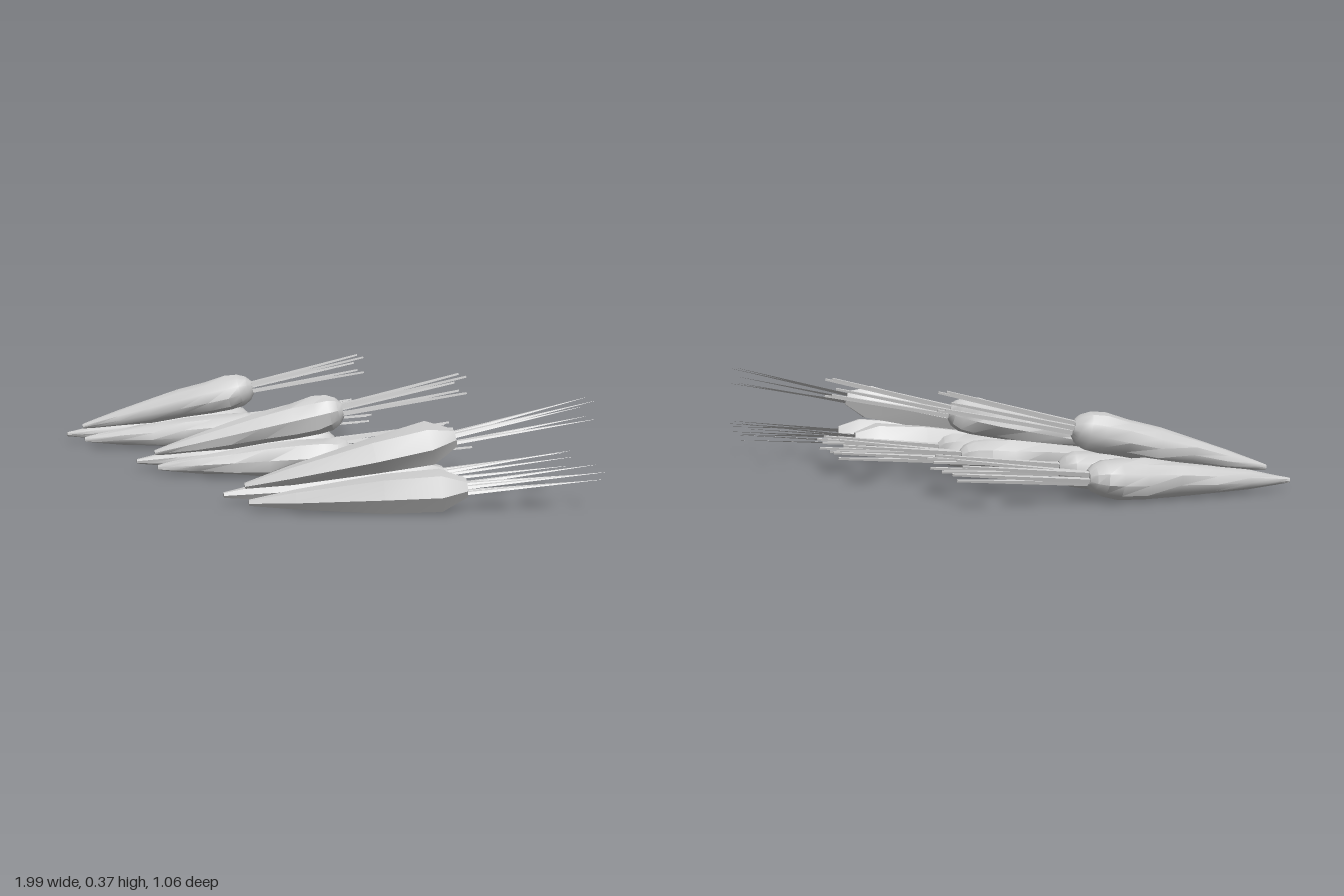
import * as THREE from 'three';
import { toCreasedNormals } from 'three/addons/utils/BufferGeometryUtils.js';

const UP = new THREE.Vector3(0, 1, 0);
const material = new THREE.MeshStandardMaterial({ color: 0xcccccc, side: THREE.DoubleSide });

// Root outline: [fraction of length from the tip, radius]
const fineProfile = [[0, 0], [0.004, 0.009], [0.07, 0.017], [0.22, 0.033], [0.4, 0.047], [0.58, 0.059],
  [0.74, 0.067], [0.86, 0.069], [0.93, 0.063], [0.975, 0.048], [1, 0.027], [1.0, 0]];
const coarseProfile = [[0, 0], [0.004, 0.01], [0.22, 0.034], [0.62, 0.064], [0.88, 0.071], [1, 0.03], [1, 0]];

// One pile is repeated three times, each with fewer sides
const piles = [
  { x: 0, sides: 11, profile: fineProfile, stemSides: 4, tipRadius: 0.005, flat: 1 },
  { x: 0.583, sides: 8, profile: fineProfile, stemSides: 4, tipRadius: 0.005, flat: 1 },
  { x: 1.17, sides: 6, profile: coarseProfile, stemSides: 3, tipRadius: 0.0005, flat: 0.25 },
];

// Root tip, root crown and the ends of the stems
const carrots = [
  { name: 'lowerRightCarrot', tip: [-0.99, 0.034, 0.525], crown: [-0.62, 0.08, -0.12],
    ends: [[-0.41, 0.12, -0.53], [-0.38, 0.155, -0.48], [-0.4, 0.095, -0.5], [-0.415, 0.14, -0.49]] },
  { name: 'lowerLeftCarrot', tip: [-0.87, 0.032, 0.505], crown: [-0.445, 0.08, -0.06],
    ends: [[-0.18, 0.13, -0.42], [-0.2, 0.1, -0.425], [-0.225, 0.145, -0.425], [-0.24, 0.09, -0.41],
      [-0.21, 0.12, -0.42]] },
  { name: 'upperCarrot', tip: [-0.92, 0.074, 0.487], crown: [-0.52, 0.232, -0.075],
    ends: [[-0.28, 0.36, -0.425], [-0.24, 0.355, -0.425], [-0.3, 0.325, -0.425], [-0.235, 0.295, -0.425],
      [-0.27, 0.3, -0.42]] },
];

// Lays a mesh whose length runs along y from one point towards another
function lay(mesh, from, to) {
  mesh.position.copy(from);
  mesh.quaternion.setFromUnitVectors(UP, to.clone().sub(from).normalize());
  return mesh;
}

// Tapered root with slight bumps
function makeRoot(tip, crown, pile, seed) {
  const length = tip.distanceTo(crown);
  const points = pile.profile.map(([t, r]) => new THREE.Vector2(r, t * length));
  const geometry = new THREE.LatheGeometry(points, pile.sides);
  const p = geometry.attributes.position;
  for (let i = 0; i < p.count; i++) {
    const x = p.getX(i), y = p.getY(i), z = p.getZ(i);
    const a = Math.atan2(z, x);
    const k = 1 + 0.05 * Math.sin(2 * a + y * 19 + seed) + 0.03 * Math.sin(3 * a - y * 31 + seed * 2);
    p.setXYZ(i, x * k, y, z * k);
  }
  const mesh = lay(new THREE.Mesh(toCreasedNormals(geometry, 0.65), material), tip, crown);
  mesh.name = 'root';
  return mesh;
}

// Thin tapering stem
function makeStem(start, end, pile) {
  const length = start.distanceTo(end);
  const geometry = new THREE.CylinderGeometry(pile.tipRadius, 0.011, length, pile.stemSides);
  geometry.translate(0, length / 2, 0).scale(1, 1, pile.flat);
  const mesh = lay(new THREE.Mesh(toCreasedNormals(geometry, 0.6), material), start, end);
  mesh.name = 'stem';
  return mesh;
}

function makeCarrot(spec, pile, seed) {
  const carrot = new THREE.Group();
  carrot.name = spec.name;
  const tip = new THREE.Vector3(...spec.tip);
  const crown = new THREE.Vector3(...spec.crown);
  carrot.add(makeRoot(tip, crown, pile, seed));

  // Stems fan out from a ring sunk into the crown
  const axis = crown.clone().sub(tip).normalize();
  const middle = spec.ends.reduce((s, e) => s.add(new THREE.Vector3(...e)), new THREE.Vector3())
    .divideScalar(spec.ends.length);
  for (const e of spec.ends) {
    const end = new THREE.Vector3(...e);
    const spread = end.clone().sub(middle).projectOnPlane(axis).setLength(0.016);
    const start = crown.clone().addScaledVector(axis, -0.015).add(spread);
    carrot.add(makeStem(start, end, pile));
  }
  return carrot;
}

export function createModel() {
  const model = new THREE.Group();
  model.name = 'carrotPiles';
  piles.forEach((pile, n) => {
    const group = new THREE.Group();
    group.name = 'carrotPile' + (n + 1);
    group.position.x = pile.x;
    carrots.forEach((spec, i) => group.add(makeCarrot(spec, pile, i * 1.7)));
    model.add(group);
  });
  return model;
}
